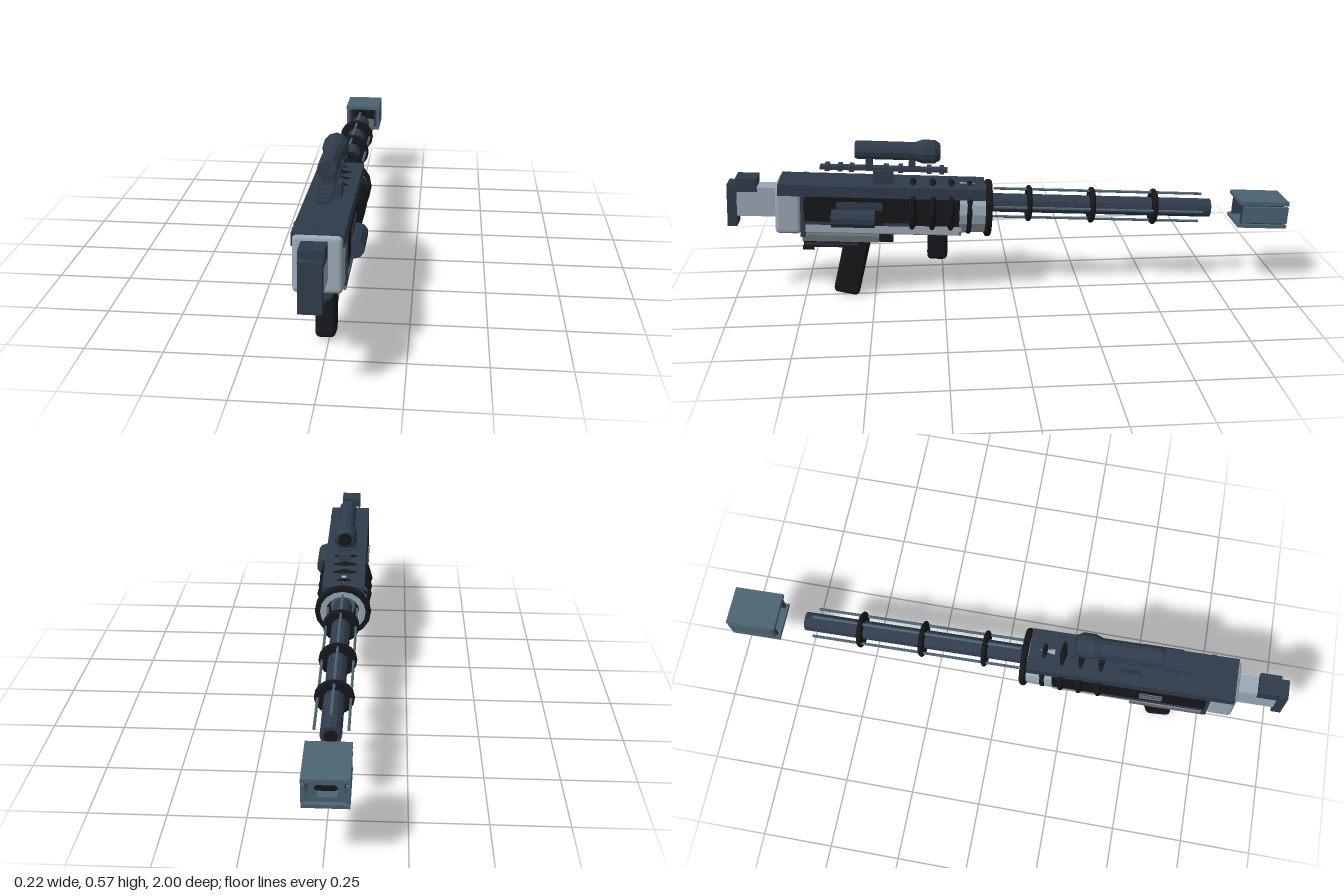
import * as THREE from 'three';
import { RoundedBoxGeometry } from 'three/addons/geometries/RoundedBoxGeometry.js';

const mat = (color) => new THREE.MeshStandardMaterial({ color, flatShading: true, side: THREE.DoubleSide });

export function createModel() {
  const navy = mat(0x303c4c), black = mat(0x15171a), light = mat(0x9aa9b6), steel = mat(0x4c6472), grey = mat(0x6a7075);
  const root = new THREE.Group();
  root.name = 'longGun';

  // Everything but the hand grips leans slightly, following the barrel axis
  const gun = new THREE.Group();
  gun.name = 'tiltedAssembly';
  gun.position.set(-0.01, 0.332, 0);
  gun.rotation.x = -0.055;
  root.add(gun);

  const add = (name, geo, m, x = 0, y = 0, z = 0, parent = gun) => {
    const mesh = new THREE.Mesh(geo, m);
    mesh.name = name;
    mesh.position.set(x, y, z);
    parent.add(mesh);
    return mesh;
  };
  // Box given by its size in x and its y and z ranges
  const box = (name, m, w, y0, y1, z0, z1, x = 0, r = 0) => {
    const s = [w, y1 - y0, z1 - z0];
    const geo = r ? new RoundedBoxGeometry(...s, 2, r) : new THREE.BoxGeometry(...s);
    return add(name, geo, m, x, (y0 + y1) / 2, (z0 + z1) / 2);
  };
  // Turned part along z from [radius, z] points
  const turned = (name, m, points, x, y, sides = 12) => {
    const geo = new THREE.LatheGeometry(points.map(([r, z]) => new THREE.Vector2(r, z)), sides);
    geo.rotateX(Math.PI / 2);
    return add(name, geo, m, x, y, 0);
  };
  const rod = (name, m, r, z0, z1, x, y, sides = 12) =>
    turned(name, m, [[0, z0], [r, z0], [r, z1], [0, z1]], x, y, sides);

  // Receiver core: chamfered section extruded along z
  const hw = 0.073, top = 0.05, low = -0.113, c = 0.025;
  const section = new THREE.Shape([
    [-hw + c, low], [hw - c, low], [hw, low + c], [hw, top - c],
    [hw - c, top], [-hw + c, top], [-hw, top - c], [-hw, low + c],
  ].map(([x, y]) => new THREE.Vector2(x, y)));
  add('receiverCore', new THREE.ExtrudeGeometry(section, { depth: 0.56, bevelEnabled: false }), light, 0, 0, 0.18);
  box('topCover', navy, 0.154, 0.03, 0.07, 0.1, 0.82);
  for (const s of [-1, 1]) {
    box('sidePanel', black, 0.012, -0.068, 0.03, 0.19, 0.73, s * 0.074);
    box('lowerSideStrip', light, 0.01, -0.1, -0.07, 0.19, 0.73, s * 0.071);
    box('panelFrame', navy, 0.012, -0.07, -0.06, 0.36, 0.73, s * 0.077);
  }
  box('rearBand', navy, 0.158, -0.118, 0.071, 0.725, 0.742);
  box('rearBlock', light, 0.148, -0.112, 0.067, 0.74, 0.83, 0, 0.015);
  for (let i = 0; i < 3; i++) box('vent', grey, 0.006, -0.04 + i * 0.02, -0.033 + i * 0.02, 0.5, 0.58, -0.08);
  box('ejectionCover', navy, 0.01, -0.015, 0.015, 0.46, 0.62, 0.078);

  // Cooling ribs that break through the cover
  for (const z of [0.155, 0.22, 0.285, 0.355]) {
    const r = z < 0.2 ? 0.097 : 0.102;
    turned('coolingRib', black, [[0, z - 0.013], [r - 0.012, z - 0.013], [r, z - 0.005],
      [r, z + 0.005], [r - 0.012, z + 0.013], [0, z + 0.013]], 0, -0.02);
  }

  // Front collar, its dark ring and the barrel socket
  turned('frontCollar', light, [[0.062, 0.16], [0.062, 0.078], [0.088, 0.078], [0.092, 0.19]], 0, -0.02, 16);
  rod('collarBack', black, 0.065, 0.13, 0.15, 0, -0.02, 16);
  turned('collarRing', black, [[0.084, 0.075], [0.098, 0.075], [0.103, 0.081], [0.103, 0.092],
    [0.097, 0.098], [0.084, 0.098], [0.084, 0.075]], 0, -0.02, 16);
  rod('barrelSocket', steel, 0.045, 0.085, 0.15, 0, 0);

  // Barrel with cage rods and clamp rings
  rod('barrel', navy, 0.034, -0.725, 0.14, 0, 0);
  rod('barrelBore', black, 0.022, -0.728, -0.72, 0, 0);
  for (let i = 0; i < 4; i++) {
    const a = i * Math.PI / 2;
    rod('cageRod', steel, 0.005, -0.69, 0.068, 0.053 * Math.cos(a), 0.053 * Math.sin(a), 6);
  }
  for (const z of [-0.06, -0.288, -0.515]) {
    turned('barrelRing', black, [[0.034, z - 0.009], [0.059, z - 0.009], [0.065, z - 0.004],
      [0.065, z + 0.004], [0.059, z + 0.009], [0.034, z + 0.009]], 0, 0, 16);
  }

  // Hollow floating muzzle block
  box('muzzleTop', steel, 0.14, 0.036, 0.05, -1, -0.82);
  box('muzzleBottom', steel, 0.14, -0.05, -0.038, -1, -0.82);
  for (const s of [-1, 1]) {
    box('muzzleSide', steel, 0.012, -0.031, 0.029, -1, -0.835, s * 0.064);
    box('muzzleInnerWall', navy, 0.01, -0.04, 0.038, -0.985, -0.83, s * 0.054);
  }
  const plate = new THREE.Shape();
  plate.moveTo(-0.058, -0.04).lineTo(0.058, -0.04).lineTo(0.058, 0.038).lineTo(-0.058, 0.038).closePath();
  const port = new THREE.Path();
  port.moveTo(-0.034, -0.014).lineTo(-0.026, -0.022).lineTo(0.026, -0.022).lineTo(0.034, -0.014)
    .lineTo(0.034, 0.012).lineTo(0.026, 0.02).lineTo(-0.026, 0.02).lineTo(-0.034, 0.012).closePath();
  plate.holes.push(port);
  add('muzzleFace', new THREE.ExtrudeGeometry(plate, { depth: 0.03, bevelEnabled: false }), steel, 0, 0, -0.985);
  box('muzzleInside', black, 0.1, -0.036, 0.034, -0.957, -0.95);

  // Stock
  box('stockArm', light, 0.064, -0.062, 0.044, 0.825, 0.97);
  box('stockButt', navy, 0.068, -0.1, 0.052, 0.965, 0.998);
  box('stockCap', navy, 0.074, 0.028, 0.076, 0.895, 0.968);

  // Sight rail with cross bars
  box('railSupport', navy, 0.074, 0.068, 0.116, 0.425, 0.495);
  box('rail', navy, 0.036, 0.111, 0.122, 0.235, 0.68);
  for (const z of [0.255, 0.3, 0.4, 0.45, 0.57, 0.61, 0.655]) box('railBar', navy, 0.046, 0.107, 0.128, z - 0.008, z + 0.008);

  // Scope: tube, flared bell and two mounts
  turned('scope', navy, [[0, 0.264], [0.031, 0.264], [0.043, 0.283], [0.043, 0.325], [0.033, 0.352],
    [0.033, 0.553], [0.029, 0.56], [0, 0.56]], 0, 0.182);
  rod('scopeLens', black, 0.026, 0.262, 0.267, 0, 0.182);
  for (const z of [0.36, 0.51]) box('scopeMount', navy, 0.042, 0.118, 0.165, z - 0.012, z + 0.012);

  // Side canister
  rod('sideCanister', navy, 0.032, 0.485, 0.635, 0.09, -0.043, 10);
  box('canisterBracket', black, 0.03, -0.065, -0.025, 0.455, 0.6, 0.075);

  // Underside plate, canister and its small rods
  box('underPlate', grey, 0.15, -0.135, -0.112, 0.47, 0.735);
  rod('underCanister', navy, 0.037, 0.545, 0.73, 0, -0.146);
  for (const s of [-1, 1]) {
    rod('underRod', black, 0.009, 0.56, 0.735, s * 0.042, -0.142, 8);
    rod('underRod', black, 0.009, 0.7, 0.74, s * 0.02, -0.18, 8);
  }
  box('triggerGuard', black, 0.03, -0.155, -0.13, 0.42, 0.5);

  // Hand grips, upright in the main frame
  const grip = add('rearGrip', new RoundedBoxGeometry(0.064, 0.24, 0.093, 2, 0.016), black, -0.01, 0.126, 0.576, root);
  grip.rotation.x = -0.24;
  add('foreGrip', new RoundedBoxGeometry(0.06, 0.13, 0.072, 2, 0.016), black, -0.01, 0.196, 0.27, root).rotation.x = -0.04;
  return root;
}
